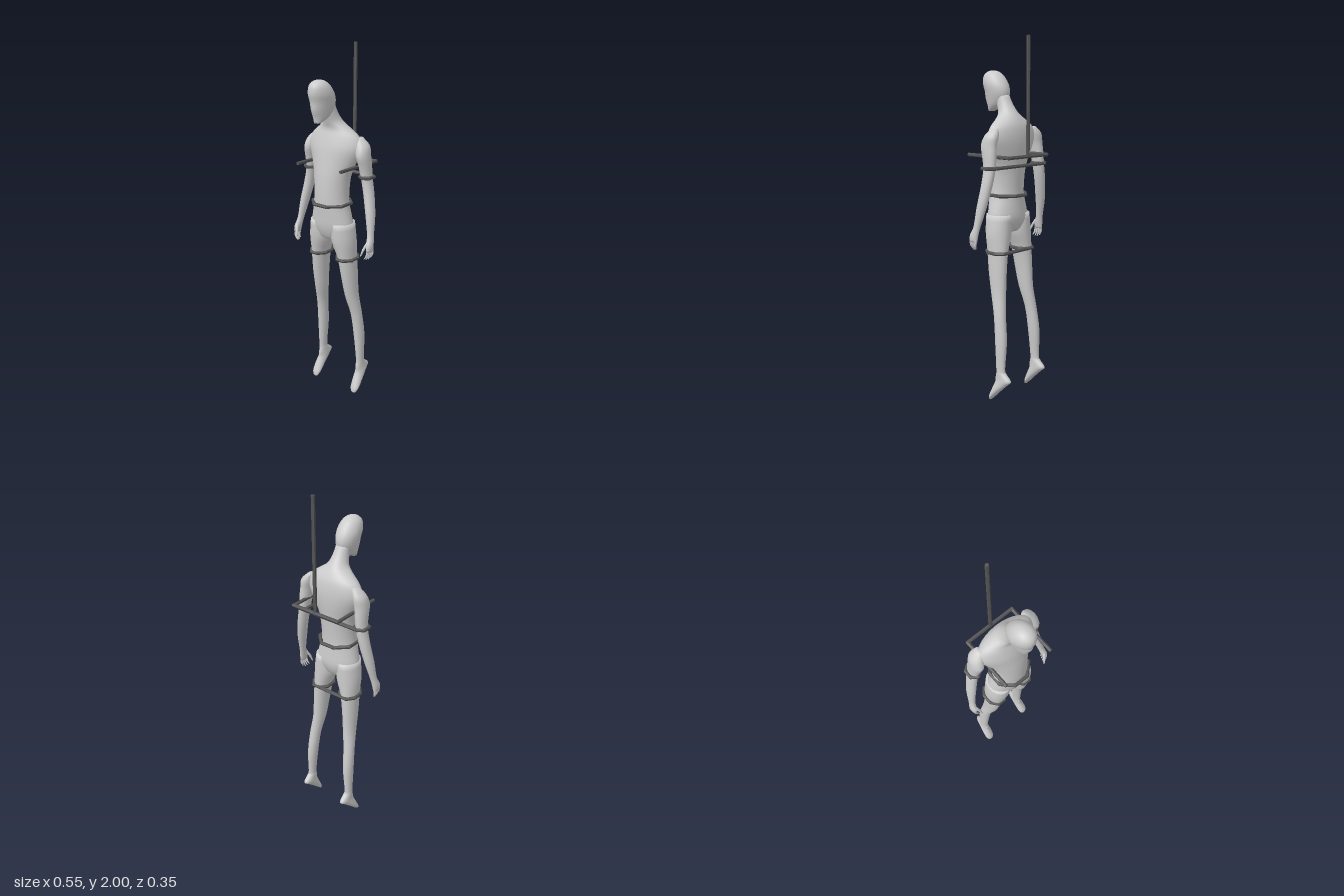
import * as THREE from 'three';

const skin = new THREE.MeshStandardMaterial({ color: 0xcccccc });
const dark = new THREE.MeshStandardMaterial({ color: 0x555555, flatShading: true });

// Smooth skin over horizontal rings listed top to bottom: [y, x, z, rx, rz, frontTaper]
function loft(name, rings, segs = 20, sub = 3) {
  const centre = new THREE.CatmullRomCurve3(rings.map(r => new THREE.Vector3(r[1], r[0], r[2])), false, 'catmullrom');
  const size = new THREE.CatmullRomCurve3(rings.map(r => new THREE.Vector3(r[3], r[4], r[5] || 0)), false, 'catmullrom');
  const n = (rings.length - 1) * sub;
  const pos = [], idx = [];
  for (let j = 0; j <= n; j++) {
    const c = centre.getPoint(j / n), s = size.getPoint(j / n);
    for (let i = 0; i < segs; i++) {
      const a = (i / segs) * Math.PI * 2, sn = Math.sin(a);
      pos.push(c.x + s.x * Math.cos(a) * (1 - s.z * Math.max(sn, 0)), c.y, c.z + s.y * sn);
      if (j === n) continue;
      const p = j * segs + i, q = j * segs + (i + 1) % segs;
      idx.push(p, q, p + segs, q, q + segs, p + segs);
    }
  }
  // end caps
  const top = pos.length / 3, first = rings[0], last = rings[rings.length - 1];
  pos.push(first[1], first[0], first[2], last[1], last[0], last[2]);
  for (let i = 0; i < segs; i++) {
    const k = (i + 1) % segs;
    idx.push(top, k, i, top + 1, n * segs + i, n * segs + k);
  }
  const g = new THREE.BufferGeometry();
  g.setAttribute('position', new THREE.Float32BufferAttribute(pos, 3));
  g.setIndex(idx);
  g.computeVertexNormals();
  const m = new THREE.Mesh(g, skin);
  m.name = name;
  return m;
}

// Six-sided straight rod between two points
function rod(name, a, b, r = 0.01) {
  const p = new THREE.Vector3(...a), q = new THREE.Vector3(...b);
  const d = q.clone().sub(p);
  const m = new THREE.Mesh(new THREE.CylinderGeometry(r, r, d.length() + r * 0.8, 6), dark);
  m.position.copy(p).add(q).multiplyScalar(0.5);
  m.quaternion.setFromUnitVectors(new THREE.Vector3(0, 1, 0), d.normalize());
  m.name = name;
  return m;
}

// Faceted strap around a limb
function band(name, x, y, z, rx, rz, n) {
  const g = new THREE.Group();
  g.name = name;
  const at = i => {
    const a = ((i + 0.5) / n) * Math.PI * 2;
    return [x + rx * Math.cos(a), y, z + rz * Math.sin(a)];
  };
  for (let i = 0; i < n; i++) g.add(rod(name + 'Segment', at(i), at(i + 1)));
  return g;
}

export function createModel() {
  const model = new THREE.Group();
  model.name = 'suspendedFigure';

  // Bowed head
  model.add(loft('head', [
    [1.83, 0, 0.112, 0.008, 0.01], [1.822, 0, 0.111, 0.03, 0.036], [1.8, 0, 0.107, 0.05, 0.062],
    [1.76, 0, 0.095, 0.061, 0.079, 0.1], [1.72, 0, 0.083, 0.058, 0.081, 0.15],
    [1.68, 0, 0.085, 0.05, 0.076, 0.2], [1.64, 0, 0.097, 0.038, 0.05, 0.2], [1.612, 0, 0.125, 0.018, 0.016]
  ]));
  // Neck, chest, waist and pelvis
  model.add(loft('torso', [
    [1.7, 0, 0.042, 0.036, 0.038], [1.65, 0, 0.022, 0.041, 0.046], [1.605, 0, -0.002, 0.056, 0.054],
    [1.57, 0, -0.018, 0.1, 0.06], [1.53, 0, -0.021, 0.153, 0.074, 0.2], [1.47, 0, -0.017, 0.17, 0.086, 0.2],
    [1.4, 0, -0.01, 0.142, 0.09, 0.15], [1.31, 0, 0.002, 0.106, 0.09], [1.18, 0, 0.01, 0.1, 0.088],
    [1.1, 0, 0.005, 0.118, 0.087], [1.03, 0, 0, 0.13, 0.084], [0.97, 0, 0, 0.09, 0.06], [0.955, 0, 0, 0.04, 0.03]
  ], 28));

  for (const s of [-1, 1]) {
    const side = s > 0 ? 'left' : 'right';
    const X = x => s * x;

    // Leg running into a foot that points downward
    model.add(loft(side + 'Leg', [
      [1.06, X(0.072), 0, 0.058, 0.078], [0.96, X(0.077), -0.003, 0.067, 0.076], [0.86, X(0.094), -0.013, 0.047, 0.066],
      [0.74, X(0.104), -0.022, 0.039, 0.058], [0.62, X(0.111), -0.036, 0.034, 0.047], [0.5, X(0.126), -0.06, 0.031, 0.036],
      [0.36, X(0.135), -0.077, 0.028, 0.037], [0.21, X(0.141), -0.08, 0.02, 0.029], [0.18, X(0.141), -0.085, 0.021, 0.034],
      [0.148, X(0.141), -0.1, 0.023, 0.056], [0.125, X(0.142), -0.09, 0.025, 0.046], [0.08, X(0.145), -0.057, 0.028, 0.032],
      [0.035, X(0.147), -0.026, 0.027, 0.019], [0.01, X(0.147), -0.012, 0.016, 0.007], [0.003, X(0.147), -0.011, 0.006, 0.002]
    ]));

    // Arm down to the palm
    model.add(loft(side + 'Arm', [
      [1.53, X(0.145), -0.045, 0.015, 0.022], [1.49, X(0.167), -0.042, 0.034, 0.043], [1.44, X(0.178), -0.034, 0.034, 0.05],
      [1.39, X(0.184), -0.042, 0.031, 0.045], [1.32, X(0.191), -0.05, 0.027, 0.038], [1.23, X(0.209), -0.047, 0.028, 0.033],
      [1.12, X(0.232), -0.032, 0.024, 0.03], [1.02, X(0.248), -0.014, 0.017, 0.021], [0.97, X(0.256), 0.002, 0.017, 0.028],
      [0.935, X(0.259), 0.005, 0.012, 0.027]
    ], 16));

    // Curled fingers and thumb
    for (let f = 0; f < 4; f++) {
      const z = -0.015 + f * 0.013, tip = 0.885 + Math.abs(f - 1.5) * 0.006;
      model.add(loft(side + 'Finger', [
        [0.95, X(0.259), z, 0.008, 0.007], [0.915, X(0.262 - f * 0.002), z + 0.002, 0.007, 0.006],
        [tip, X(0.253 - f * 0.004), z + 0.006, 0.003, 0.003]
      ], 8, 2));
    }
    model.add(loft(side + 'Thumb', [
      [0.985, X(0.252), 0.016, 0.009, 0.009], [0.95, X(0.239), 0.034, 0.008, 0.008], [0.912, X(0.229), 0.046, 0.003, 0.004]
    ], 8, 2));

    // Limb straps
    model.add(band(side + 'ArmBand', X(0.192), 1.325, -0.05, 0.035, 0.042, 6));
    model.add(band(side + 'ThighBand', X(0.094), 0.855, -0.014, 0.055, 0.07, 8));
  }

  // Waist strap and the bars joining the limb straps behind the body
  model.add(band('waistBand', 0, 1.165, 0.007, 0.109, 0.108, 8));
  model.add(rod('armBandBar', [-0.19, 1.325, -0.09], [0.19, 1.325, -0.09]));
  model.add(rod('thighBandBar', [-0.1, 0.855, -0.078], [0.1, 0.855, -0.078]));

  // U-shaped carrying frame and hanging pole
  model.add(rod('frameBack', [-0.128, 1.383, -0.167], [0.165, 1.383, -0.167]));
  for (const x of [-0.128, 0.163]) model.add(rod('frameArm', [x, 1.383, -0.167], [x, 1.383, 0.135]));
  model.add(rod('hangingPole', [0.02, 1.385, -0.165], [0.02, 1.996, -0.165]));
  return model;
}
